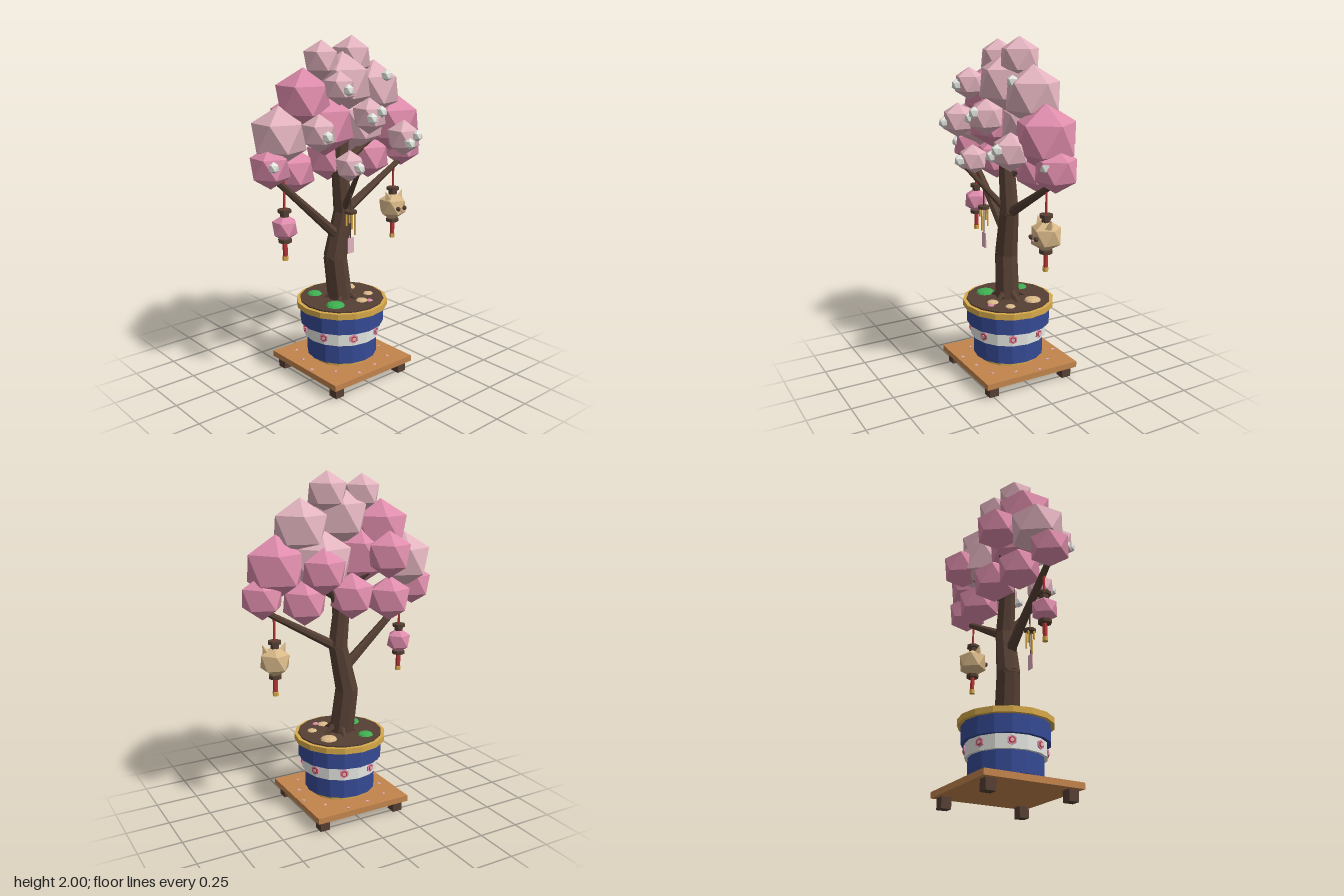
import * as THREE from 'three';

const mat = (name, color) => {
  const m = new THREE.MeshStandardMaterial({ color, flatShading: true });
  m.name = name;
  return m;
};

export function createModel() {
  const bark = mat('bark brown', 0x553f33), wood = mat('stand wood', 0xc2844c);
  const blue = mat('pot blue', 0x354a94), gold = mat('gold', 0xd6a94a);
  const white = mat('white', 0xe4e6e0), blush = mat('light pink', 0xe2b3be);
  const pink = mat('pink', 0xde8cab), cream = mat('cream', 0xd8b888);
  const green = mat('moss green', 0x3fae50), red = mat('red', 0xb93434);

  const root = new THREE.Group();
  root.name = 'pottedBlossomTree';

  const add = (parent, name, geo, m, x = 0, y = 0, z = 0) => {
    const mesh = new THREE.Mesh(geo, m);
    mesh.name = name;
    mesh.position.set(x, y, z);
    parent.add(mesh);
    return mesh;
  };
  const group = (name, x = 0, y = 0, z = 0) => {
    const g = new THREE.Group();
    g.name = name;
    g.position.set(x, y, z);
    root.add(g);
    return g;
  };
  // Upright cylinder from y0 to y1
  const drum = (parent, name, m, r, y0, y1, sides = 16, x = 0, z = 0) =>
    add(parent, name, new THREE.CylinderGeometry(r, r, y1 - y0, sides), m, x, (y0 + y1) / 2, z);
  // Tapered cylinder between two points
  const limb = (parent, name, m, a, b, r0, r1, sides = 8) => {
    const p = new THREE.Vector3(...a), q = new THREE.Vector3(...b);
    const d = q.clone().sub(p);
    const mesh = add(parent, name, new THREE.CylinderGeometry(r1, r0, d.length(), sides), m);
    mesh.position.copy(p.add(q).multiplyScalar(0.5));
    mesh.quaternion.setFromUnitVectors(new THREE.Vector3(0, 1, 0), d.normalize());
    return mesh;
  };
  // Icosahedron standing on a corner
  const ball = (r) => new THREE.IcosahedronGeometry(r, 0)
    .rotateX(-Math.atan((1 + Math.sqrt(5)) / 2)).rotateY(Math.PI / 2);

  // Wooden stand with four feet and fallen petals
  const stand = group('stand');
  add(stand, 'standTop', new THREE.BoxGeometry(0.6, 0.035, 0.6), wood, 0, 0.082, 0);
  for (const x of [-0.245, 0.245]) for (const z of [-0.245, 0.245])
    add(stand, 'foot', new THREE.BoxGeometry(0.06, 0.065, 0.06), bark, x, 0.0325, z);
  for (let i = 0; i < 12; i++) {
    const a = i * 0.5236 + 0.2, r = 0.25 + 0.03 * (i % 2);
    const petal = add(stand, 'fallenPetal', new THREE.CylinderGeometry(0.015, 0.015, 0.004, 3), blush,
      Math.sin(a) * r, 0.101, Math.cos(a) * r);
    petal.scale.z = 0.7;
    petal.rotation.y = i;
  }

  // Pot
  const pot = group('pot');
  drum(pot, 'potFoot', gold, 0.175, 0.1, 0.135);
  drum(pot, 'lowerPot', blue, 0.21, 0.13, 0.255);
  drum(pot, 'whiteBand', white, 0.227, 0.25, 0.33);
  drum(pot, 'upperPot', blue, 0.25, 0.33, 0.435);
  drum(pot, 'potRim', gold, 0.272, 0.432, 0.466);
  drum(pot, 'soil', bark, 0.25, 0.45, 0.474);
  for (let i = 0; i < 8; i++) {
    const flower = new THREE.Group();
    flower.name = 'bandFlower';
    flower.rotation.y = (i + 0.5) * Math.PI / 4;
    pot.add(flower);
    [[0.027, pink, 0.228], [0.018, red, 0.231], [0.012, blush, 0.234]].forEach(([r, m, z]) =>
      add(flower, 'flowerDisc', new THREE.CylinderGeometry(r, r, 0.008, 6).rotateX(Math.PI / 2), m, 0, 0.293, z));
  }

  // Moss and pebbles on the soil
  const cover = group('groundCover');
  [[-0.125, 0.09, 0.056, green], [-0.1, -0.135, 0.045, green], [0.125, -0.095, 0.05, cream],
    [0.045, 0.13, 0.035, cream], [0.15, 0.07, 0.03, cream], [0.08, 0.16, 0.02, pink]].forEach(([x, z, r, m]) => {
    const mound = add(cover, m === green ? 'moss' : 'pebble', new THREE.SphereGeometry(r, 10, 6), m, x, 0.474, z);
    mound.scale.y = 0.36;
  });

  // Trunk, roots and branches
  const tree = group('trunk');
  const path = [[-0.01, 0.45, 0, 0.074], [-0.042, 0.73, -0.01, 0.069], [0.012, 1, 0, 0.057],
    [-0.015, 1.25, 0, 0.048], [0.01, 1.55, 0, 0.036], [-0.03, 1.84, 0, 0.015]];
  for (let i = 0; i + 1 < path.length; i++) {
    const [a, b] = [path[i], path[i + 1]];
    limb(tree, 'trunkSection', bark, a.slice(0, 3), b.slice(0, 3), a[3], b[3]);
    add(tree, 'trunkJoint', new THREE.IcosahedronGeometry(b[3] * 0.97, 1), bark, b[0], b[1], b[2]);
  }
  for (let i = 0; i < 5; i++) {
    const a = i * 1.257 + 0.4, s = Math.sin(a), c = Math.cos(a);
    limb(tree, 'root', bark, [s * 0.04, 0.51, c * 0.04], [s * 0.105, 0.468, c * 0.105], 0.022, 0.01, 6);
  }
  [[[-0.02, 0.85, 0], [-0.47, 1.26, 0], 0.032, 0.018], [[0.01, 0.99, 0], [0.48, 1.26, 0], 0.03, 0.016],
    [[0, 1.02, 0.02], [-0.08, 1.27, 0.23], 0.022, 0.012], [[0, 1.28, 0], [0.38, 1.5, 0], 0.026, 0.014],
    [[0, 1.3, 0], [-0.2, 1.52, -0.17], 0.02, 0.012], [[0, 1.2, 0], [0.2, 1.46, -0.18], 0.02, 0.012],
  ].forEach(([a, b, r0, r1]) => limb(tree, 'branch', bark, a, b, r0, r1, 7));

  // Leaf clumps: x, y, z, radius
  const crown = group('crown');
  const clumps = (name, m, list) => list.forEach(([x, y, z, r]) => add(crown, name, ball(r), m, x, y, z));
  clumps('lightClump', blush, [
    [0.09, 1.88, -0.02, 0.12], [-0.135, 1.87, -0.01, 0.11], [0, 1.745, 0.01, 0.172], [0.25, 1.695, -0.01, 0.165],
    [0.15, 1.51, -0.06, 0.185], [-0.41, 1.48, -0.035, 0.165],
    [-0.3, 1.51, 0.17, 0.102], [-0.155, 1.735, 0.165, 0.092], [0.055, 1.57, 0.17, 0.102],
    [0.325, 1.42, 0.17, 0.105], [-0.095, 1.31, 0.18, 0.088]]);
  clumps('pinkClump', pink, [
    [-0.255, 1.67, -0.02, 0.168], [-0.125, 1.525, 0, 0.18], [0.395, 1.49, 0, 0.18], [0.485, 1.335, -0.01, 0.125],
    [-0.49, 1.325, -0.01, 0.12], [-0.285, 1.27, -0.08, 0.132], [-0.025, 1.31, -0.095, 0.135],
    [0.25, 1.295, -0.05, 0.135], [-0.215, 1.54, -0.18, 0.135], [0.2, 1.48, -0.19, 0.13]]);
  clumps('whiteBlossom', white, [
    [-0.157, 1.73, 0.24], [0.24, 1.775, 0.11], [-0.31, 1.5, 0.255], [0.072, 1.6, 0.25], [0.01, 1.565, 0.245],
    [-0.525, 1.34, 0.07], [-0.095, 1.31, 0.26], [0.287, 1.4, 0.26], [0.345, 1.44, 0.26], [0.515, 1.36, 0.07],
  ].map((p) => [...p, 0.034]));

  // Hanging lanterns; y values are relative to the lantern body
  const lantern = (name, x, y, r, m) => {
    const g = group(name, x, y, 0);
    drum(g, 'string', red, 0.007, r, 1.24 - y, 6);
    drum(g, 'topCap', bark, 0.038, r + 0.008, r + 0.026, 8);
    drum(g, 'topCollar', bark, 0.025, r * 0.8, r + 0.01, 8);
    add(g, 'lanternBody', ball(r), m);
    drum(g, 'bottomCap', bark, 0.038, -r - 0.006, -r + 0.014, 8);
    drum(g, 'tassel', red, 0.014, -r - 0.09, -r, 6);
    drum(g, 'tasselTip', gold, 0.017, -r - 0.11, -r - 0.085, 6);
    return g;
  };
  lantern('pinkLantern', -0.41, 0.98, 0.078, pink);
  const cat = lantern('catLantern', 0.413, 0.965, 0.093, cream);
  for (const s of [-1, 1]) {
    const ear = add(cat, 'ear', new THREE.ConeGeometry(0.028, 0.062, 4), cream, s * 0.057, 0.072, 0.01);
    ear.rotation.z = -s * 0.45;
    add(cat, 'eye', new THREE.SphereGeometry(0.014, 8, 6), bark, s * 0.026, -0.003, 0.078);
  }
  add(cat, 'nose', new THREE.SphereGeometry(0.007, 6, 5), pink, 0, -0.02, 0.082);

  // Wind chime with a paper strip
  const chime = group('windChime', -0.048, 0, 0.135);
  drum(chime, 'chimeString', bark, 0.004, 1.03, 1.17, 5);
  drum(chime, 'chimeCap', bark, 0.035, 1.025, 1.042, 8);
  for (let i = 0; i < 4; i++) {
    const a = i * Math.PI / 2 + 0.6;
    drum(chime, 'chimeTube', gold, 0.006, 0.9 + 0.025 * i, 1.028, 6, Math.sin(a) * 0.025, Math.cos(a) * 0.025);
  }
  drum(chime, 'stripString', bark, 0.003, 0.87, 1.03, 5);
  add(chime, 'paperStrip', new THREE.BoxGeometry(0.045, 0.09, 0.005), blush, 0, 0.835, 0);

  return root;
}
